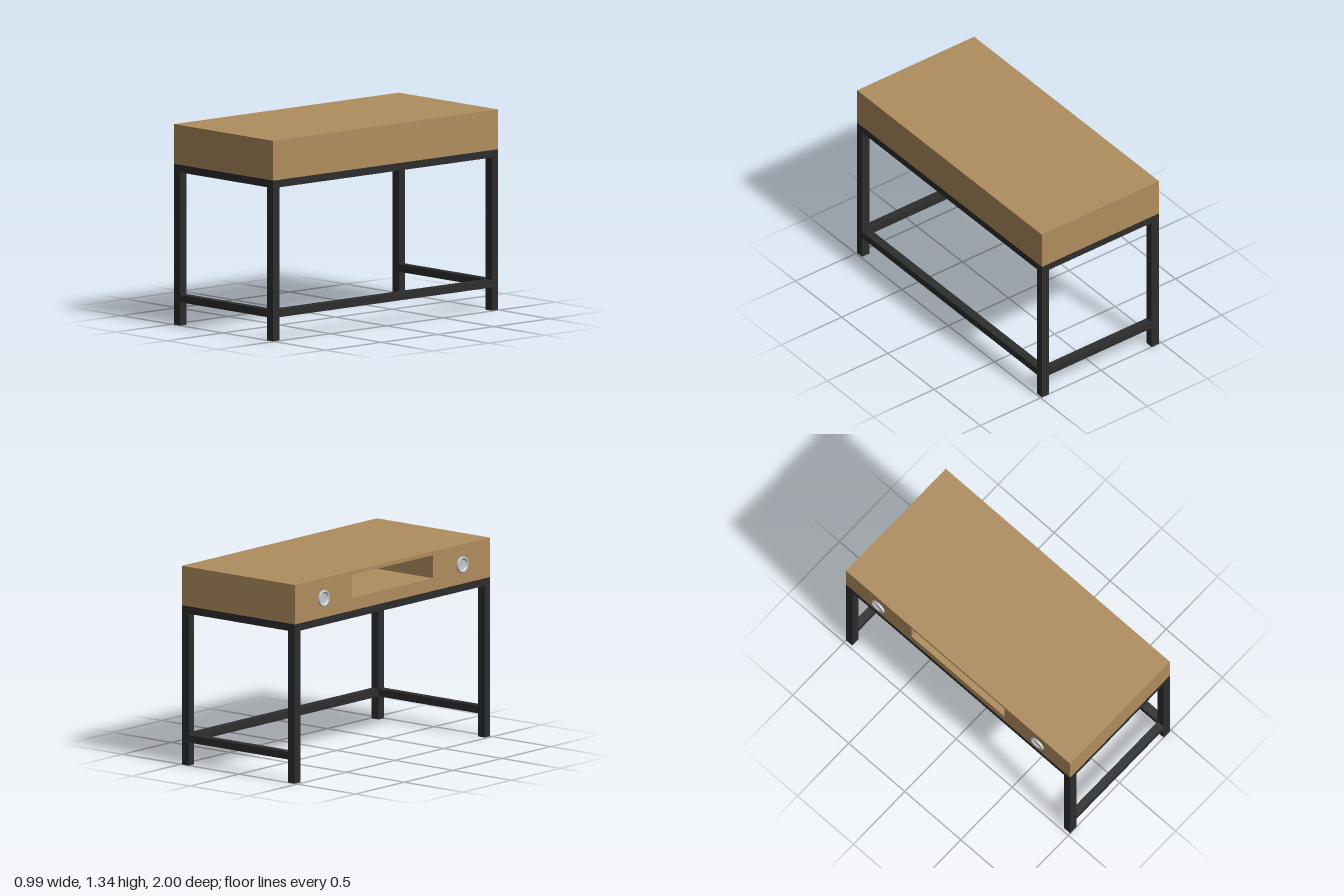
import * as THREE from 'three';

const wood = new THREE.MeshStandardMaterial({ color: 0xb08d5e });
wood.name = 'oak wood';
const iron = new THREE.MeshStandardMaterial({ color: 0x2d2d2d });
iron.name = 'black iron';
const silver = new THREE.MeshStandardMaterial({ color: 0xc4c8cc, side: THREE.DoubleSide });
silver.name = 'silver metal';

export function createModel() {
  const desk = new THREE.Group();
  desk.name = 'desk';

  // Box given by its limits on each axis
  const box = (name, material, [x0, x1], [y0, y1], [z0, z1]) => {
    const mesh = new THREE.Mesh(new THREE.BoxGeometry(x1 - x0, y1 - y0, z1 - z0), material);
    mesh.position.set((x0 + x1) / 2, (y0 + y1) / 2, (z0 + z1) / 2);
    mesh.name = name;
    desk.add(mesh);
  };
  // z range mirrored to the chosen end
  const atEnd = (s, a, b) => (s > 0 ? [a, b] : [-b, -a]);

  const L = -0.48, R = 0.49, inner = -0.46;
  const open = 0.415;

  // Wooden case
  box('desktop', wood, [L, R], [1.31, 1.335], [-1, 1]);
  box('caseBottom', wood, [L, R], [1.07, 1.09], [-1, 1]);
  box('caseBack', wood, [0.47, R], [1.09, 1.31], [-0.98, 0.98]);
  box('compartmentFloor', wood, [inner, 0.47], [1.09, 1.155], [-open, open]);
  box('compartmentLip', wood, [L, inner], [1.09, 1.155], [-open, open]);

  // Flat frame under the case
  box('frameTop', iron, [L, R], [1.02, 1.07], [-1, 1]);

  // Knob profile: rounded rim around a shallow dish
  const profile = [
    [0.055, 0], [0.055, 0.009], [0.053, 0.013], [0.049, 0.015],
    [0.044, 0.014], [0.041, 0.011], [0.038, 0.005], [0.032, 0.003], [0, 0.002],
  ].map(([r, h]) => new THREE.Vector2(r, h));
  const knobGeometry = new THREE.LatheGeometry(profile, 40);

  for (const s of [1, -1]) {
    box('caseSide', wood, [inner, R], [1.09, 1.31], atEnd(s, 0.98, 1));
    box('partition', wood, [inner, 0.47], [1.09, 1.31], atEnd(s, open, open + 0.02));
    box('drawerFront', wood, [L, inner], [1.09, 1.31], atEnd(s, open, 1));

    const knob = new THREE.Mesh(knobGeometry, silver);
    knob.name = 'drawerKnob';
    knob.rotation.z = Math.PI / 2;
    knob.position.set(L, 1.2, s * 0.71);
    desk.add(knob);

    // Legs and end stretcher
    box('leg', iron, [L, L + 0.06], [0, 1.02], atEnd(s, 0.945, 1));
    box('leg', iron, [R - 0.06, R], [0, 1.02], atEnd(s, 0.945, 1));
    box('endStretcher', iron, [L + 0.06, R - 0.06], [0.155, 0.205], atEnd(s, 0.945, 1));
  }

  // Long stretcher on the back side
  box('longStretcher', iron, [R - 0.06, R], [0.155, 0.205], [-0.945, 0.945]);

  return desk;
}
